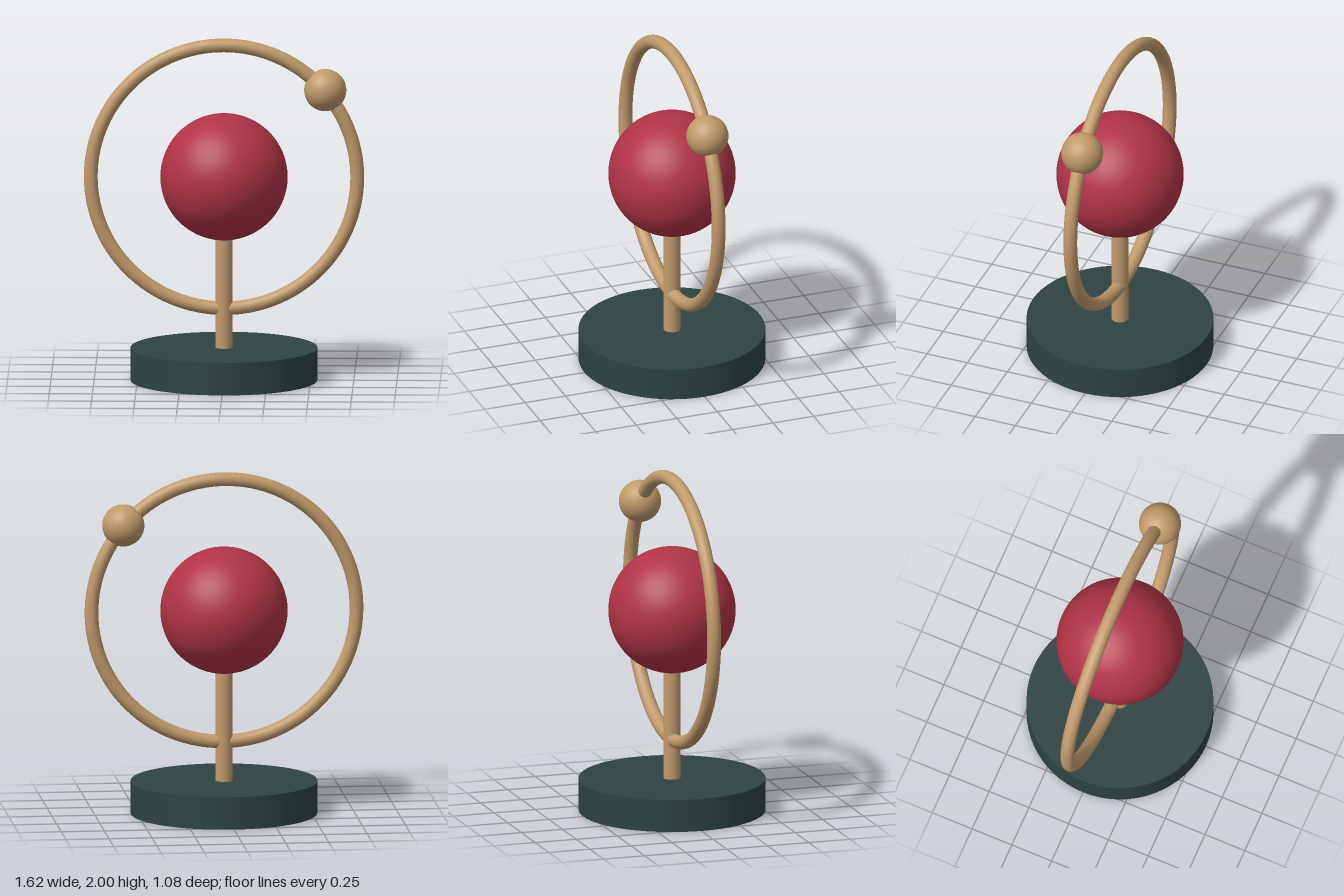
import * as THREE from 'three';

export function createModel() {
  const group = new THREE.Group();
  const brass = new THREE.MeshStandardMaterial({ color: 0xc19a6b });
  const crimson = new THREE.MeshStandardMaterial({ color: 0xb03348 });
  const slate = new THREE.MeshStandardMaterial({ color: 0x2f4242 });
  const centreY = 1.19;

  const add = (name, geometry, material, x, y) => {
    const mesh = new THREE.Mesh(geometry, material);
    mesh.name = name;
    mesh.position.set(x, y, 0);
    group.add(mesh);
  };

  // Round plinth and the post rising into the globe
  add('base', new THREE.CylinderGeometry(0.54, 0.54, 0.19, 64), slate, 0, 0.095);
  add('post', new THREE.CylinderGeometry(0.05, 0.05, 0.76, 32), brass, 0, 0.56);

  // Central globe
  add('globe', new THREE.SphereGeometry(0.368, 64, 40), crimson, 0, centreY);

  // Upright orbit ring with a small ball threaded on it
  add('orbitRing', new THREE.TorusGeometry(0.77, 0.04, 20, 120), brass, 0, centreY);
  add('orbitBall', new THREE.SphereGeometry(0.122, 40, 28), brass, 0.585, 1.7);

  return group;
}
